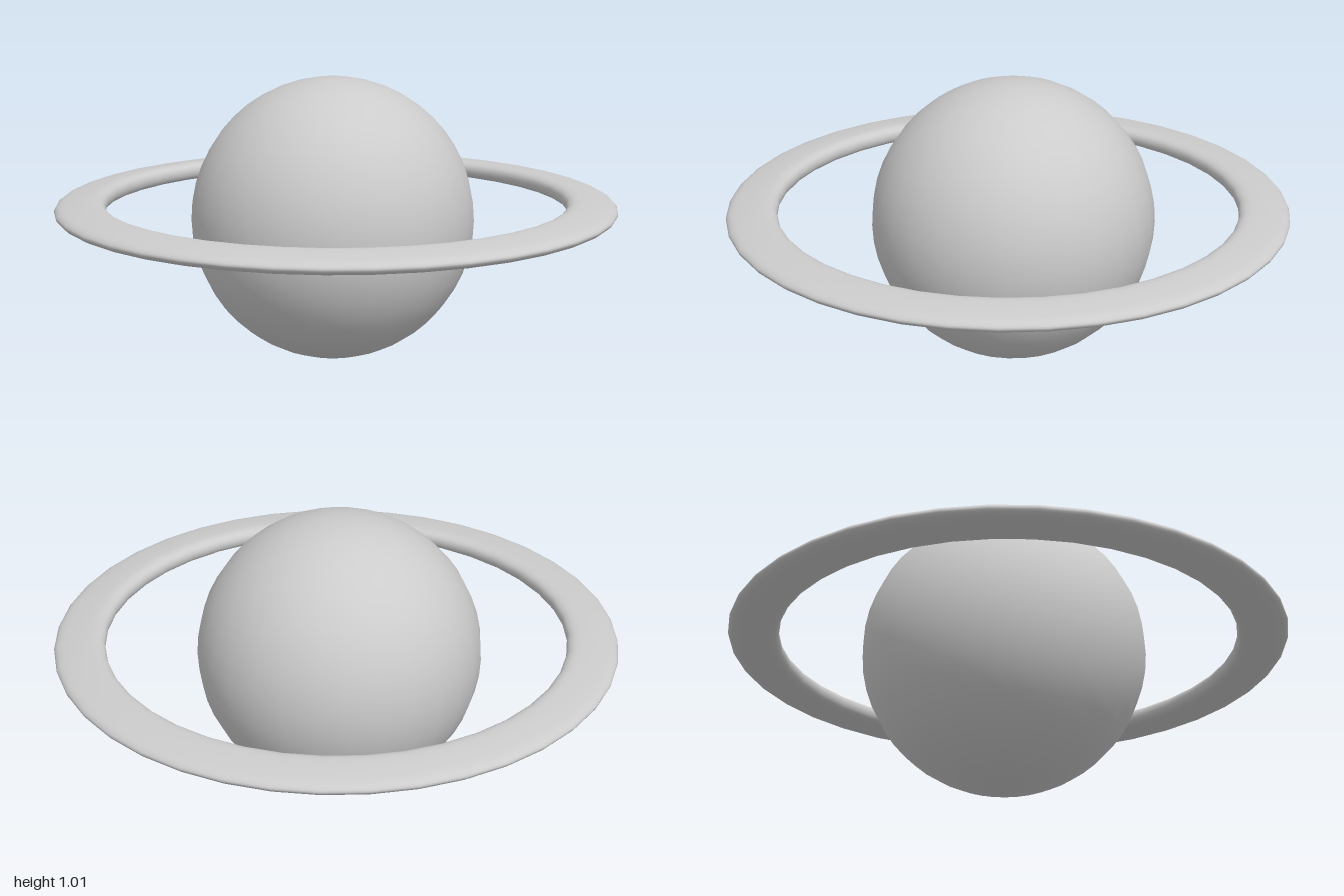
import * as THREE from 'three';

export function createModel() {
  const group = new THREE.Group();
  const material = new THREE.MeshStandardMaterial({ color: 0xcccccc });

  // Globe, set slightly off the ring's axis
  const planet = new THREE.Mesh(new THREE.SphereGeometry(0.507, 28, 24), material);
  planet.name = 'planet';
  planet.position.set(-0.02, 0.507, -0.003);
  group.add(planet);

  // Ring cross-section: blunt inner edge, tapering to a thin rounded rim
  const section = new THREE.CatmullRomCurve3([
    [0.85, 0.528], [0.9, 0.527], [0.955, 0.531], [0.988, 0.541],
    [1.0, 0.557], [0.985, 0.573], [0.94, 0.584], [0.89, 0.591],
    [0.848, 0.592], [0.826, 0.58], [0.82, 0.56], [0.828, 0.538],
  ].map(([r, y]) => new THREE.Vector3(r, y, 0)), true);
  const profile = section.getPoints(36).map((p) => new THREE.Vector2(p.x, p.y));

  const ring = new THREE.Mesh(new THREE.LatheGeometry(profile, 40), material);
  ring.name = 'ring';
  group.add(ring);

  return group;
}
